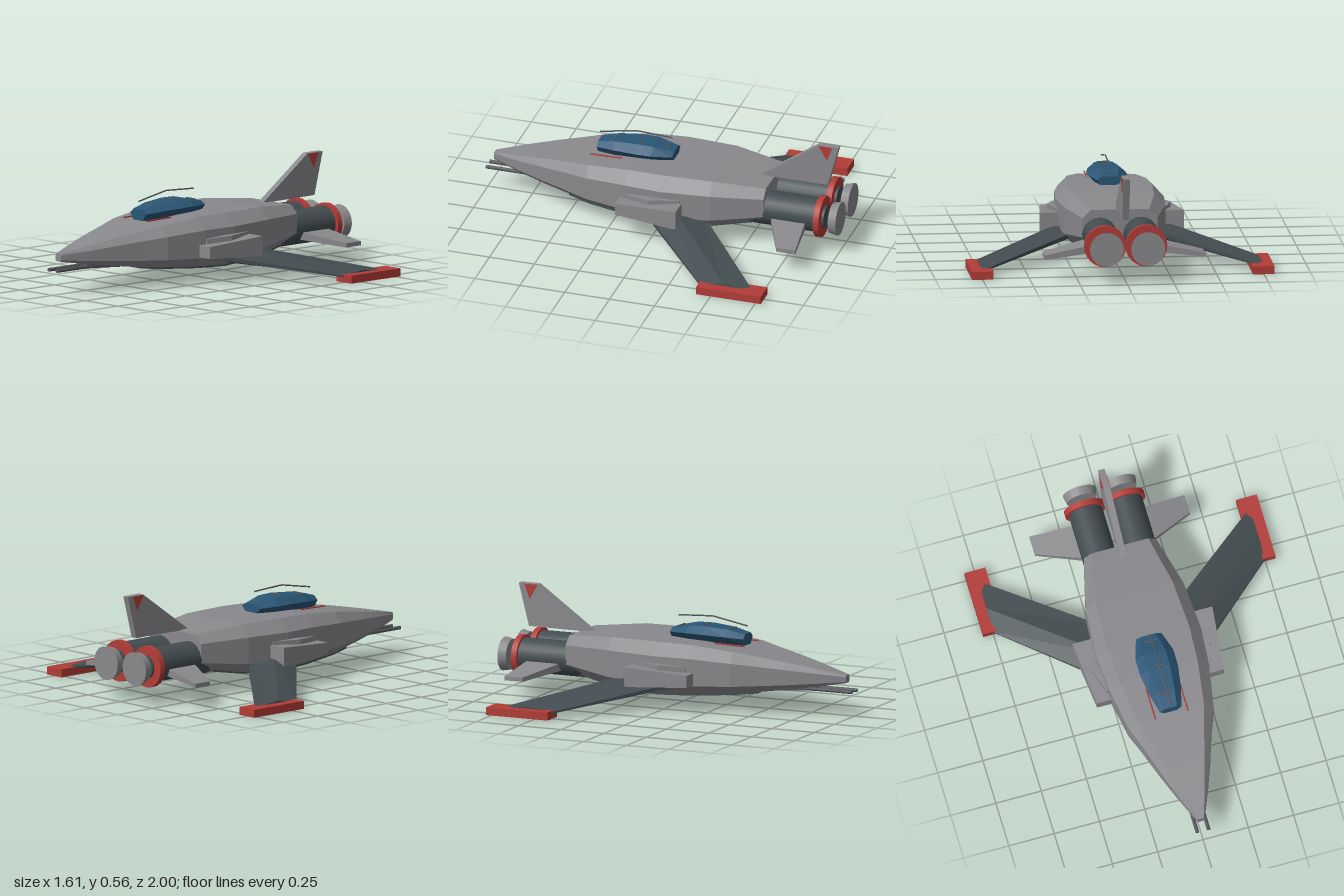
import * as THREE from 'three';

const mat = (name, color, side = THREE.FrontSide) => {
  const m = new THREE.MeshStandardMaterial({ color });
  m.name = name;
  m.side = side;
  return m;
};

// Skins a list of equal-length closed rings, capped at both ends, with flat facets.
function loft(rings) {
  const pos = [];
  const tri = (a, b, c) => pos.push(...a, ...b, ...c);
  const n = rings[0].length;
  for (let r = 0; r < rings.length - 1; r++) {
    for (let i = 0; i < n; i++) {
      const j = (i + 1) % n, p = rings[r], q = rings[r + 1];
      tri(p[i], q[i], q[j]);
      tri(p[i], q[j], p[j]);
    }
  }
  const first = rings[0], last = rings[rings.length - 1];
  for (let i = 1; i < n - 1; i++) {
    tri(first[0], first[i], first[i + 1]);
    tri(last[0], last[i + 1], last[i]);
  }
  // Turn every face outward if the enclosed volume comes out negative
  const a = new THREE.Vector3(), b = new THREE.Vector3(), c = new THREE.Vector3();
  let volume = 0;
  for (let i = 0; i < pos.length; i += 9) {
    a.fromArray(pos, i); b.fromArray(pos, i + 3); c.fromArray(pos, i + 6);
    volume += a.dot(b.cross(c));
  }
  if (volume < 0) {
    for (let i = 0; i < pos.length; i += 9) {
      for (let k = 0; k < 3; k++) [pos[i + 3 + k], pos[i + 6 + k]] = [pos[i + 6 + k], pos[i + 3 + k]];
    }
  }
  const g = new THREE.BufferGeometry();
  g.setAttribute('position', new THREE.Float32BufferAttribute(pos, 3));
  g.computeVertexNormals();
  return g;
}

// Octagonal cross-section of the hull
function hullRing([z, w, top, bot]) {
  const h = top - bot, t = w * 0.78;
  const half = [[t, top], [w, top - h * 0.24], [w, bot + h * 0.2], [t, bot]];
  return [...half, ...half.slice().reverse().map(([x, y]) => [-x, y])].map(([x, y]) => [x, y, z]);
}

// Rectangle ring at one depth
const rectRing = (x0, x1, y0, y1, z) => [[x0, y0, z], [x1, y0, z], [x1, y1, z], [x0, y1, z]];

// Wing cross-section at x: sharp-ish leading edge, flat trailing edge
const wingRing = (x, zLead, zTrail, y0, y1) => {
  const mid = (y0 + y1) / 2, e = (y1 - y0) * 0.12, zc = zLead + (zTrail - zLead) * 0.45;
  return [[x, mid - e, zLead], [x, y0, zc], [x, mid - e, zTrail],
    [x, mid + e, zTrail], [x, y1, zc], [x, mid + e, zLead]];
};

const mirrorX = (rings, s) => rings.map((r) => r.map(([x, y, z]) => [x * s, y, z]));

export function createModel() {
  const model = new THREE.Group();
  model.name = 'starfighter';
  const grey = mat('hull grey', 0x89898d);
  const dark = mat('dark slate', 0x434c50);
  const red = mat('trim red', 0xb23c37);
  const blue = mat('canopy blue', 0x2a5676);
  const metal = mat('gun metal', 0x55585b);

  const add = (name, geometry, material, x = 0, y = 0, z = 0) => {
    const m = new THREE.Mesh(geometry, material);
    m.name = name;
    m.position.set(x, y, z);
    model.add(m);
    return m;
  };
  const box = (w, h, d) => new THREE.BoxGeometry(w, h, d);
  const tubeZ = (rFront, rBack, len, n = 24) =>
    new THREE.CylinderGeometry(rFront, rBack, len, n).rotateX(Math.PI / 2);
  const rod = (name, points, r, material) => {
    const path = new THREE.CurvePath();
    for (let i = 0; i < points.length - 1; i++) {
      path.add(new THREE.LineCurve3(new THREE.Vector3(...points[i]), new THREE.Vector3(...points[i + 1])));
    }
    return add(name, new THREE.TubeGeometry(path, 12, r, 6), material);
  };

  // Hull: z, half width, top, bottom
  const sections = [
    [0.96, 0.02, 0.22, 0.178], [0.8, 0.085, 0.252, 0.152], [0.65, 0.14, 0.28, 0.132],
    [0.5, 0.19, 0.305, 0.115], [0.38, 0.235, 0.325, 0.103], [0.15, 0.275, 0.35, 0.086],
    [-0.05, 0.29, 0.355, 0.078], [-0.32, 0.27, 0.355, 0.098], [-0.6, 0.2, 0.33, 0.145],
  ];
  add('hull', loft(sections.map(hullRing)), grey);

  // Dark belly panel hugging the underside
  add('bellyPanel', loft(sections.slice(3).map(([z, w, , bot]) =>
    rectRing(-w * 0.79, w * 0.79, bot - 0.008, bot + 0.001, z))), dark);

  // Canopy: z, half width, top, waist, bottom
  const canopy = [
    [0.375, 0.06, 0.395, 0.372, 0.335], [0.28, 0.085, 0.415, 0.38, 0.335],
    [0.15, 0.105, 0.425, 0.387, 0.34], [0.06, 0.105, 0.423, 0.388, 0.345], [-0.05, 0.07, 0.4, 0.382, 0.35],
  ];
  add('canopy', loft(canopy.map(([z, w, top, mid, bot]) => [
    [w * 0.57, top, z], [w, mid, z], [w * 0.6, bot, z],
    [-w * 0.6, bot, z], [-w, mid, z], [-w * 0.57, top, z]])), blue);
  rod('canopyRail', [[0, 0.435, 0.375], [0, 0.473, 0.17], [0, 0.463, -0.03]], 0.004, metal);
  for (const [z, y] of [[0.29, 0.415], [0.14, 0.426], [-0.01, 0.411]]) {
    add('canopyBar', box(0.07, 0.006, 0.008), metal, 0, y, z);
  }

  // Tail fin
  const fin = [[-0.52, 0.33], [-0.85, 0.562], [-0.96, 0.562], [-0.9, 0.333]];
  add('tailFin', loft([-0.018, 0.018].map((x) => fin.map(([z, y]) => [x, y, z]))), grey);

  // Gun mount under the nose
  add('gunMount', loft([rectRing(-0.035, 0.035, 0.125, 0.16, 0.78),
    rectRing(-0.055, 0.055, 0.112, 0.16, 0.56)]), metal);

  for (const s of [1, -1]) {
    const side = s > 0 ? 'left' : 'right';

    // Gun barrels and canopy side rods
    add(side + 'GunBarrel', tubeZ(0.01, 0.01, 0.4, 10), metal, s * 0.031, 0.134, 0.8);
    rod(side + 'CanopyRod', [[s * 0.09, 0.345, 0.22], [s * 0.09, 0.342, 0.4]], 0.004, red);

    // Shoulder intake, flaring toward the back, with a fairing to the hull
    add(side + 'Intake', loft(mirrorX([rectRing(0.2, 0.35, 0.145, 0.21, 0.18),
      rectRing(0.2, 0.386, 0.128, 0.235, -0.17)], s)), grey);
    add(side + 'IntakeFairing', loft(mirrorX([rectRing(0.24, 0.285, 0.15, 0.24, 0.14),
      rectRing(0.24, 0.33, 0.15, 0.25, 0), rectRing(0.24, 0.285, 0.15, 0.25, -0.16)], s)), grey);

    // Swept wing and tip block
    add(side + 'Wing', loft(mirrorX([wingRing(0.2, 0.09, -0.26, 0.085, 0.19),
      wingRing(0.75, -0.42, -0.72, 0.012, 0.052)], s)), dark);
    add(side + 'WingTip', box(0.115, 0.043, 0.36), red, s * 0.749, 0.0215, -0.6);

    // Rear stabilizer
    add(side + 'Stabilizer', loft(mirrorX([
      [[0.15, 0.145, -0.62], [0.15, 0.145, -0.825], [0.15, 0.19, -0.825], [0.15, 0.19, -0.62]],
      [[0.427, 0.115, -0.745], [0.427, 0.115, -0.85], [0.427, 0.138, -0.85], [0.427, 0.138, -0.745]],
    ], s)), grey);

    // Engine: body, collar ring, inner throat and detached exhaust disc
    const ex = s * 0.11, ey = 0.192;
    add(side + 'EngineBody', tubeZ(0.092, 0.092, 0.4), dark, ex, ey + 0.005, -0.69);
    add(side + 'EngineCollar', tubeZ(0.111, 0.111, 0.032), red, ex, ey, -0.896);
    add(side + 'EngineThroat', tubeZ(0.062, 0.062, 0.02), dark, ex, ey, -0.915);
    add(side + 'ExhaustDisc', tubeZ(0.082, 0.091, 0.046), grey, ex, ey, -0.977);

    // Red fin flash
    const flash = [[-0.85, 0.559], [-0.925, 0.559], [-0.895, 0.48]];
    add(side + 'FinFlash', loft([0.016, 0.021].map((x) => flash.map(([z, y]) => [s * x, y, z]))), red);
  }
  return model;
}
